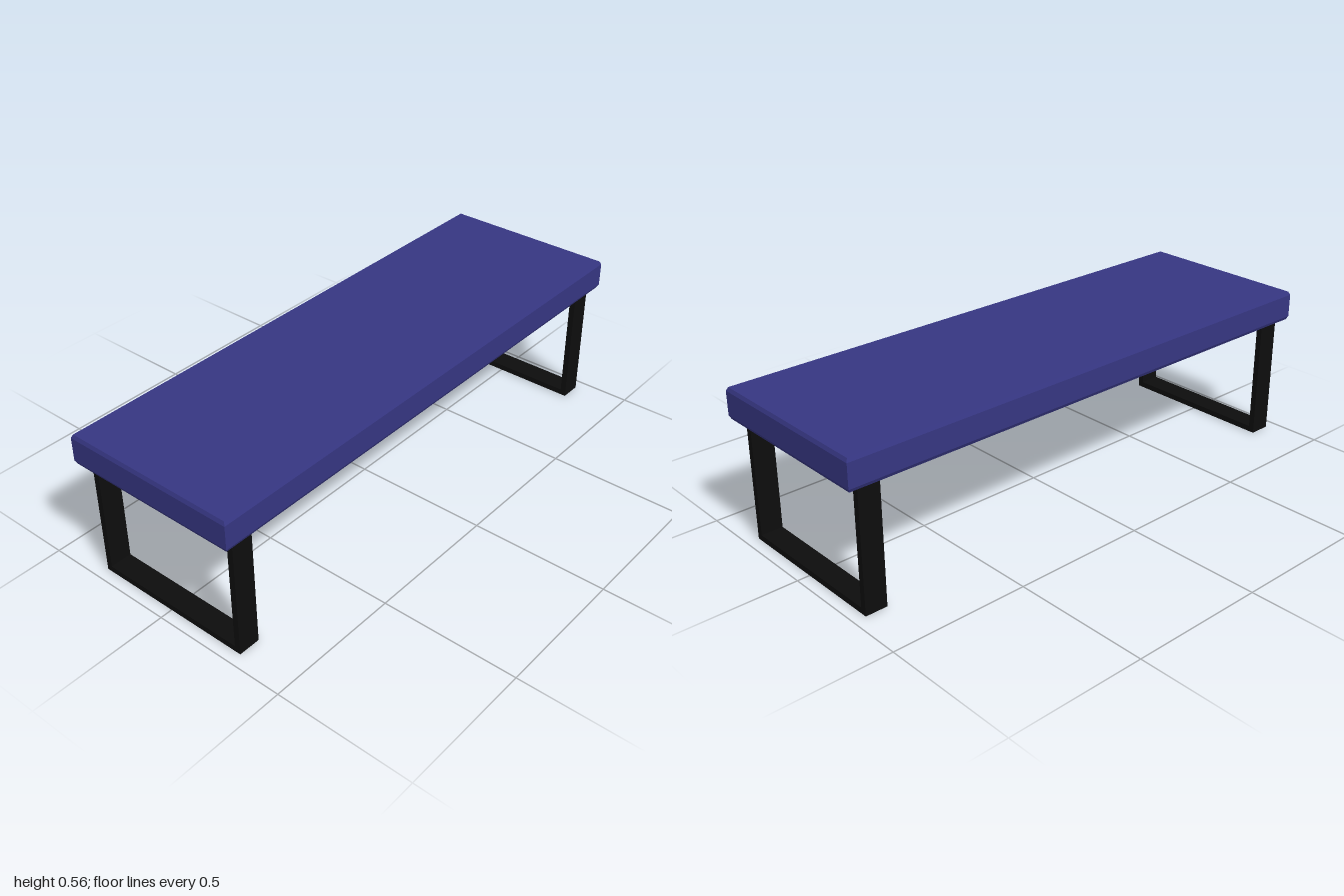
import * as THREE from 'three';

const LEG_TOP = 0.446;

// Box whose top and bottom rims are bevelled; the upright corners stay sharp
function bevelledSlab(width, height, depth, inset, drop) {
  const box = new THREE.BoxGeometry(width, height, depth, 1, 3, 1);
  const pos = box.attributes.position;
  for (let i = 0; i < pos.count; i++) {
    const y = pos.getY(i);
    if (Math.abs(y) > height * 0.4) {
      pos.setX(i, pos.getX(i) - Math.sign(pos.getX(i)) * inset);
      pos.setZ(i, pos.getZ(i) - Math.sign(pos.getZ(i)) * inset);
    } else {
      pos.setY(i, Math.sign(y) * (height / 2 - drop));
    }
  }
  const flat = box.toNonIndexed();
  flat.computeVertexNormals();
  return flat;
}

// Rectangular loop of flat bar, extruded along z
function legFrame(halfWidth, height, bar, depth) {
  const outline = new THREE.Shape([
    new THREE.Vector2(-halfWidth, 0), new THREE.Vector2(halfWidth, 0),
    new THREE.Vector2(halfWidth, height), new THREE.Vector2(-halfWidth, height),
  ]);
  const w = halfWidth - bar;
  outline.holes.push(new THREE.Path([
    new THREE.Vector2(-w, bar), new THREE.Vector2(-w, height - bar),
    new THREE.Vector2(w, height - bar), new THREE.Vector2(w, bar),
  ]));
  const geometry = new THREE.ExtrudeGeometry(outline, { depth, bevelEnabled: false });
  return geometry.translate(0, 0, -depth / 2);
}

export function createModel() {
  const bench = new THREE.Group();
  bench.name = 'bench';

  const blue = new THREE.MeshStandardMaterial({ color: 0x363682 });
  blue.name = 'indigo upholstery';
  const black = new THREE.MeshStandardMaterial({ color: 0x0d0d0d });
  black.name = 'black metal';

  // Seat pad
  const seat = new THREE.Mesh(bevelledSlab(0.656, 0.11, 2, 0.006, 0.0125), blue);
  seat.name = 'seat';
  seat.position.y = LEG_TOP + 0.055;
  bench.add(seat);

  // One leg loop near each end
  const frame = legFrame(0.303, LEG_TOP, 0.0215, 0.08);
  for (const [name, z] of [['frontLeg', 0.915], ['backLeg', -0.915]]) {
    const leg = new THREE.Mesh(frame, black);
    leg.name = name;
    leg.position.z = z;
    bench.add(leg);
  }

  return bench;
}
